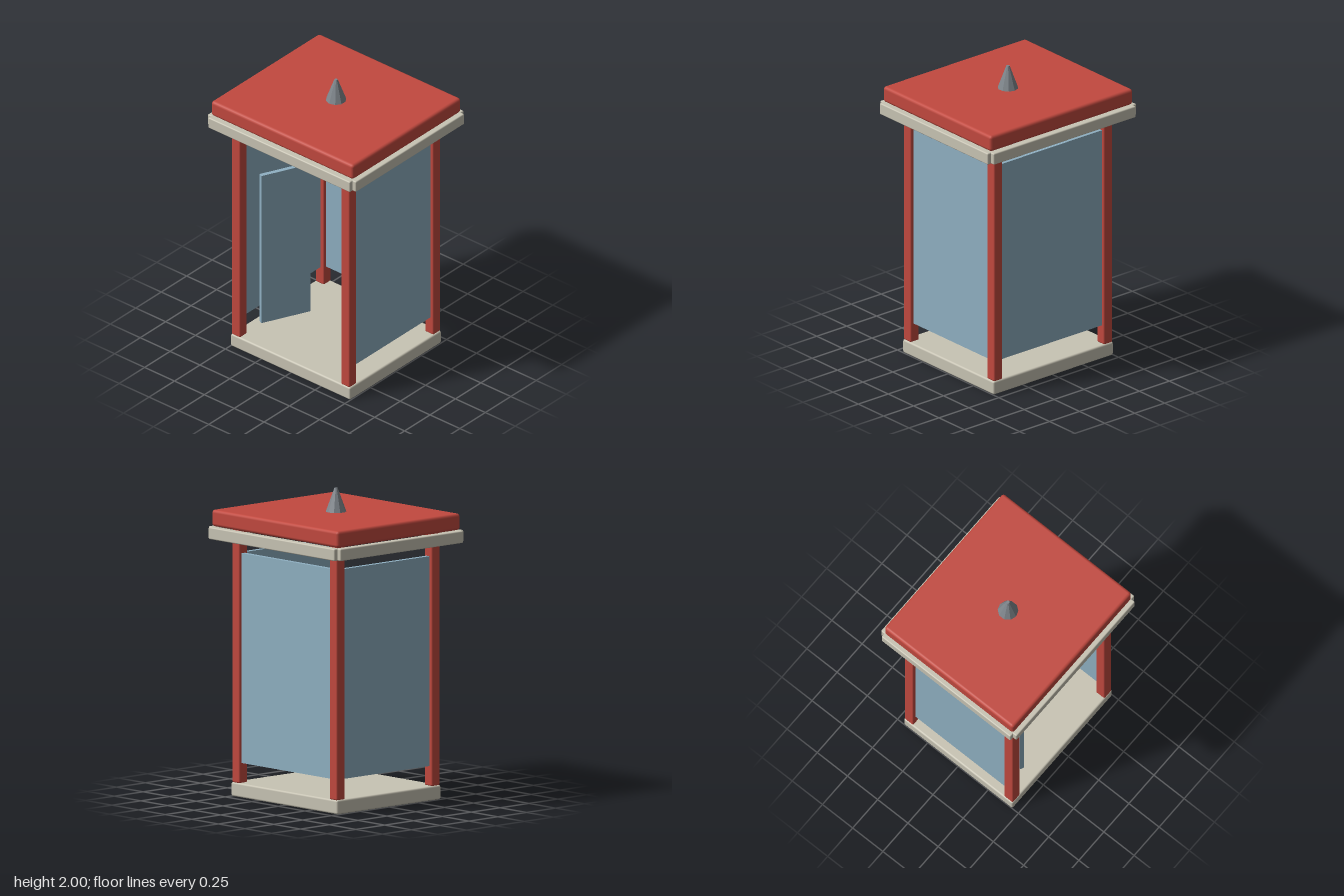
import * as THREE from 'three';
import { RoundedBoxGeometry } from 'three/addons/geometries/RoundedBoxGeometry.js';

const mat = (name, color, extra = {}) => Object.assign(new THREE.MeshStandardMaterial({ color, ...extra }), { name });

export function createModel() {
  const red = mat('red paint', 0xc2493f);
  const cream = mat('cream trim', 0xc8c4b4);
  const glass = mat('blue glass', 0x8fb0c2);
  const black = mat('black plastic', 0x222222);
  const grey = mat('grey metal', 0x7f868c, { flatShading: true });

  const booth = new THREE.Group();
  booth.name = 'phoneBooth';

  const add = (parent, name, geometry, material, x, y, z) => {
    const mesh = new THREE.Mesh(geometry, material);
    mesh.name = name;
    mesh.position.set(x, y, z);
    parent.add(mesh);
    return mesh;
  };
  // Box given by its extents; r is the edge rounding
  const block = (parent, name, material, [x0, x1], [y0, y1], [z0, z1], r = 0) => {
    const size = [x1 - x0, y1 - y0, z1 - z0];
    const geometry = r ? new RoundedBoxGeometry(...size, 2, r) : new THREE.BoxGeometry(...size);
    return add(parent, name, geometry, material, (x0 + x1) / 2, (y0 + y1) / 2, (z0 + z1) / 2);
  };

  // Floor slab and corner posts
  block(booth, 'base', cream, [-0.5, 0.5], [0, 0.092], [-0.45, 0.45], 0.012);
  for (const sx of [-1, 1]) {
    for (const sz of [-1, 1]) {
      const x = sx * 0.458, z = sz * 0.412;
      block(booth, 'post', red, [x - 0.036, x + 0.036], [0.09, 1.745], [z - 0.036, z + 0.036], 0.01);
    }
  }

  // Glass walls on the back and both sides
  const wallY = [0.22, 1.575];
  block(booth, 'backGlass', glass, [-0.425, 0.425], wallY, [-0.428, -0.398]);
  for (const s of [-1, 1]) {
    block(booth, 'sideGlass', glass, [s * 0.46 - 0.015, s * 0.46 + 0.015], wallY, [-0.372, 0.372]);
  }

  // Door leaf standing ajar
  const door = add(booth, 'door', new THREE.BoxGeometry(0.028, 1.11, 0.342), glass, -0.24, 0.775, 0.22);
  door.rotation.y = -0.438;

  // Roof with a trim frame and a metal finial
  block(booth, 'roof', red, [-0.595, 0.595], [1.74, 1.848], [-0.533, 0.533], 0.02);
  for (const s of [-1, 1]) {
    const z = s * 0.535, x = s * 0.595;
    block(booth, 'roofTrimFrontBack', cream, [-0.593, 0.593], [1.66, 1.738], [z - 0.026, z + 0.026], 0.008);
    block(booth, 'roofTrimSide', cream, [x - 0.026, x + 0.026], [1.66, 1.738], [-0.533, 0.533], 0.008);
  }
  add(booth, 'finial', new THREE.CylinderGeometry(0.011, 0.067, 0.154, 10), grey, 0, 1.923, 0);

  // Wall phone
  const phone = new THREE.Group();
  phone.name = 'phone';
  booth.add(phone);
  block(phone, 'phoneBody', black, [-0.046, 0.24], [0.938, 1.345], [-0.4, -0.3], 0.012);
  block(phone, 'display', glass, [-0.01, 0.203], [1.238, 1.288], [-0.303, -0.294]);
  block(phone, 'keypad', cream, [0.01, 0.123], [1.043, 1.195], [-0.303, -0.294]);
  block(phone, 'cradle', cream, [0.196, 0.245], [1.055, 1.197], [-0.325, -0.27], 0.01);
  block(phone, 'hook', cream, [0.042, 0.155], [0.912, 0.945], [-0.345, -0.3], 0.006);

  // Handset hanging under the phone
  const hx = 0.097, hz = -0.31;
  const part = (name, y0, y1, w, d, r) =>
    block(phone, name, black, [hx - w / 2, hx + w / 2], [y0, y1], [hz - d / 2, hz + d / 2], r);
  part('earpiece', 0.865, 0.92, 0.105, 0.08, 0.018);
  part('handle', 0.72, 0.88, 0.062, 0.05, 0.012);
  part('mouthpiece', 0.688, 0.745, 0.086, 0.08, 0.018);

  // Short coiled cord
  const coil = [];
  for (let i = 0; i <= 32; i++) {
    const a = (i / 8) * Math.PI * 2;
    coil.push(new THREE.Vector3(0.018 * Math.cos(a), -0.045 * i / 32, 0.018 * Math.sin(a)));
  }
  add(phone, 'cord', new THREE.TubeGeometry(new THREE.CatmullRomCurve3(coil), 48, 0.008, 6), black, hx, 0.697, hz);

  return booth;
}
